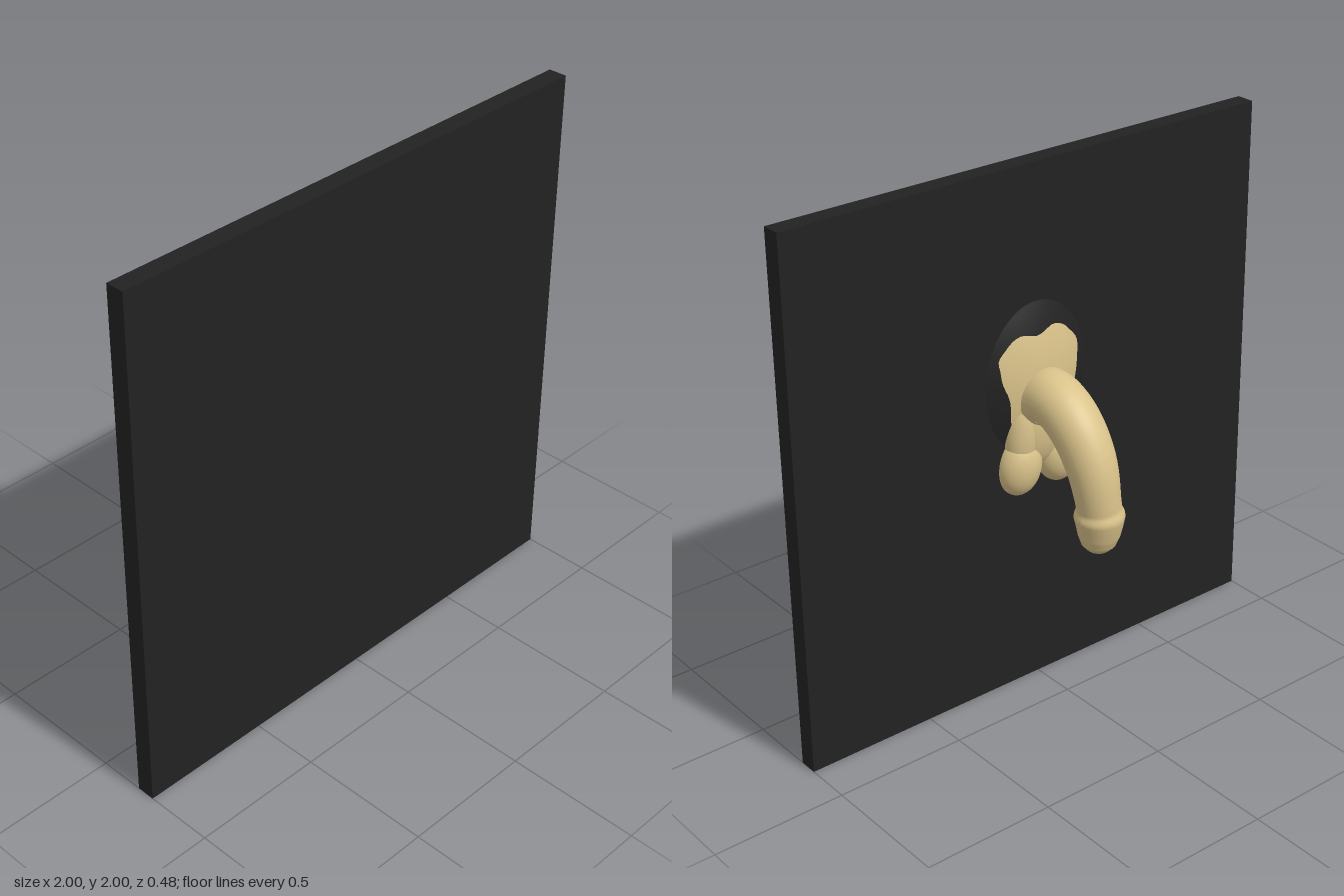
import * as THREE from 'three';

const BACK = 0.172; // z of the panel's rear face

export function createModel() {
  const group = new THREE.Group();
  const black = new THREE.MeshStandardMaterial({ color: 0x222222 });
  black.name = 'black';
  const tan = new THREE.MeshStandardMaterial({ color: 0xd9c28a });
  tan.name = 'tan';

  function add(name, geometry, material, x = 0, y = 0, z = 0) {
    const mesh = new THREE.Mesh(geometry, material);
    mesh.name = name;
    mesh.position.set(x, y, z);
    group.add(mesh);
    return mesh;
  }

  // Square wall panel
  add('panel', new THREE.BoxGeometry(2, 2, 0.07), black, 0, 1, BACK + 0.035);

  // Shallow swelling on the rear face, as a height above the panel
  const swell = (x, y) => {
    const s = (x / 0.22) ** 2 + ((y - 1.21) / 0.29) ** 2;
    return 0.055 * Math.max(0, 1 - s);
  };

  // A skin facing -z that follows the swelling inside an outline
  function skin(outline, cy, lift) {
    const geo = new THREE.RingGeometry(0, 1, 64, 12);
    geo.rotateY(Math.PI);
    const p = geo.attributes.position;
    for (let i = 0; i < p.count; i++) {
      const s = Math.hypot(p.getX(i), p.getY(i));
      const a = Math.atan2(p.getY(i), p.getX(i));
      const [ox, oy] = outline((a / (2 * Math.PI) + 1) % 1);
      const x = ox * s, y = cy + (oy - cy) * s;
      p.setXYZ(i, x, y, BACK - swell(x, y) - lift);
    }
    geo.computeVertexNormals();
    return geo;
  }

  add('mound', skin((t) => {
    const a = t * 2 * Math.PI;
    return [0.22 * Math.cos(a), 1.21 + 0.29 * Math.sin(a)];
  }, 1.21, 0), black);

  // Irregular tan patch over the mound, listed anticlockwise from +x
  const edge = new THREE.CatmullRomCurve3([
    [0.15, 1.2], [0.175, 1.29], [0.16, 1.35], [0.09, 1.4], [0.02, 1.39], [-0.06, 1.41],
    [-0.13, 1.37], [-0.17, 1.3], [-0.15, 1.2], [-0.13, 1.08], [-0.1, 0.98],
    [0, 0.95], [0.1, 0.98], [0.13, 1.08],
  ].map(([x, y]) => new THREE.Vector3(x, y, 0)), true);
  add('patch', skin((t) => {
    const q = edge.getPoint(t);
    const wobble = 1 + 0.02 * Math.sin(t * 2 * Math.PI * 11);
    return [q.x * wobble, q.y];
  }, 1.2, 0.005), tan);

  // Curved shaft and rounded tip: a tube whose radius follows a profile
  const path = new THREE.CatmullRomCurve3([
    [0, 1.14, 0.17], [0, 1.167, 0.1], [0, 1.15, 0.02], [-0.003, 1.085, -0.06],
    [-0.01, 0.98, -0.118], [-0.015, 0.88, -0.142], [-0.022, 0.8, -0.147], [-0.025, 0.645, -0.138],
  ].map((v) => new THREE.Vector3(...v)));
  const profile = [
    [0, 0.108], [0.1, 0.102], [0.3, 0.098], [0.5, 0.092], [0.7, 0.081], [0.755, 0.08],
    [0.775, 0.087], [0.795, 0.091], [0.83, 0.086], [0.9, 0.075], [0.95, 0.062], [0.98, 0.042], [1, 0],
  ];
  const radiusAt = (u) => {
    const i = Math.max(1, profile.findIndex(([k]) => k >= u));
    const [a, ra] = profile[i - 1], [b, rb] = profile[i];
    return THREE.MathUtils.mapLinear(u, a, b, ra, rb);
  };
  const rings = 100, sides = 32;
  const shaft = new THREE.TubeGeometry(path, rings, 1, sides, false);
  const pos = shaft.attributes.position;
  const v = new THREE.Vector3();
  for (let i = 0; i <= rings; i++) {
    const centre = path.getPointAt(i / rings);
    const r = radiusAt(i / rings);
    for (let j = 0; j <= sides; j++) {
      const k = i * (sides + 1) + j;
      v.fromBufferAttribute(pos, k).sub(centre).multiplyScalar(r).add(centre);
      pos.setXYZ(k, v.x, v.y, v.z);
    }
  }
  shaft.computeVertexNormals();
  add('curvedShaft', shaft, tan);

  // Soft forms hanging below the root
  function blob(name, x, y, z, rx, ry, rz, tilt = 0) {
    const mesh = add(name, new THREE.SphereGeometry(1, 32, 24), tan, x, y, z);
    mesh.scale.set(rx, ry, rz);
    mesh.rotation.z = tilt;
  }
  blob('rootBase', 0, 1.05, 0.165, 0.125, 0.17, 0.07);
  for (const side of [1, -1]) {
    const label = side > 0 ? 'left' : 'right';
    blob(label + 'Lobe', side * 0.083, 0.9, 0.165, 0.085, 0.115, 0.073, side * 0.15);
    blob(label + 'Fold', side * 0.075, 1.02, 0.165, 0.065, 0.16, 0.062, side * 0.1);
  }

  return group;
}
